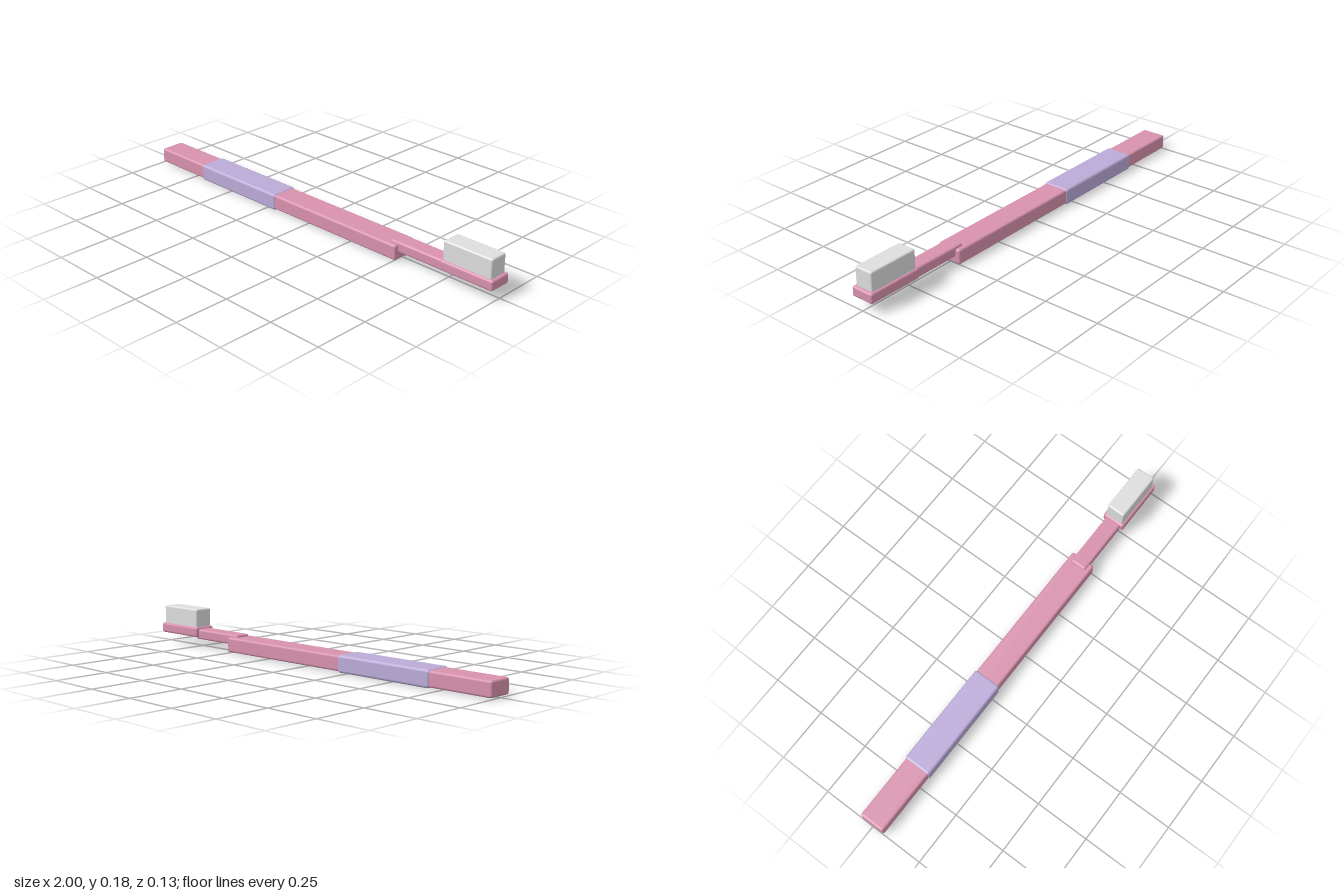
import * as THREE from 'three';
import { RoundedBoxGeometry } from 'three/addons/geometries/RoundedBoxGeometry.js';

function material(name, color) {
  const m = new THREE.MeshStandardMaterial({ color });
  m.name = name;
  return m;
}

export function createModel() {
  const group = new THREE.Group();
  group.name = 'toothbrush';
  const pink = material('pink plastic', 0xd892ae);
  const lilac = material('lilac grip', 0xbbabd8);
  const white = material('pale bristles', 0xdedede);

  // Rounded bar spanning x0..x1 and y0..y1, centred on z = 0
  function bar(name, mat, [x0, x1], [y0, y1], depth, radius) {
    const geo = new RoundedBoxGeometry(x1 - x0, y1 - y0, depth, 3, radius);
    const mesh = new THREE.Mesh(geo, mat);
    mesh.name = name;
    mesh.position.set((x0 + x1) / 2, (y0 + y1) / 2, 0);
    group.add(mesh);
  }

  bar('handle', pink, [-1, 0.51], [0.004, 0.073], 0.118, 0.01);
  bar('grip', lilac, [-0.698, -0.2], [0, 0.077], 0.129, 0.012);
  bar('neck', pink, [0.465, 0.76], [0.036, 0.084], 0.076, 0.01);
  bar('head', pink, [0.737, 1], [0.046, 0.093], 0.108, 0.01);
  bar('bristles', white, [0.746, 0.986], [0.08, 0.179], 0.089, 0.008);

  return group;
}
